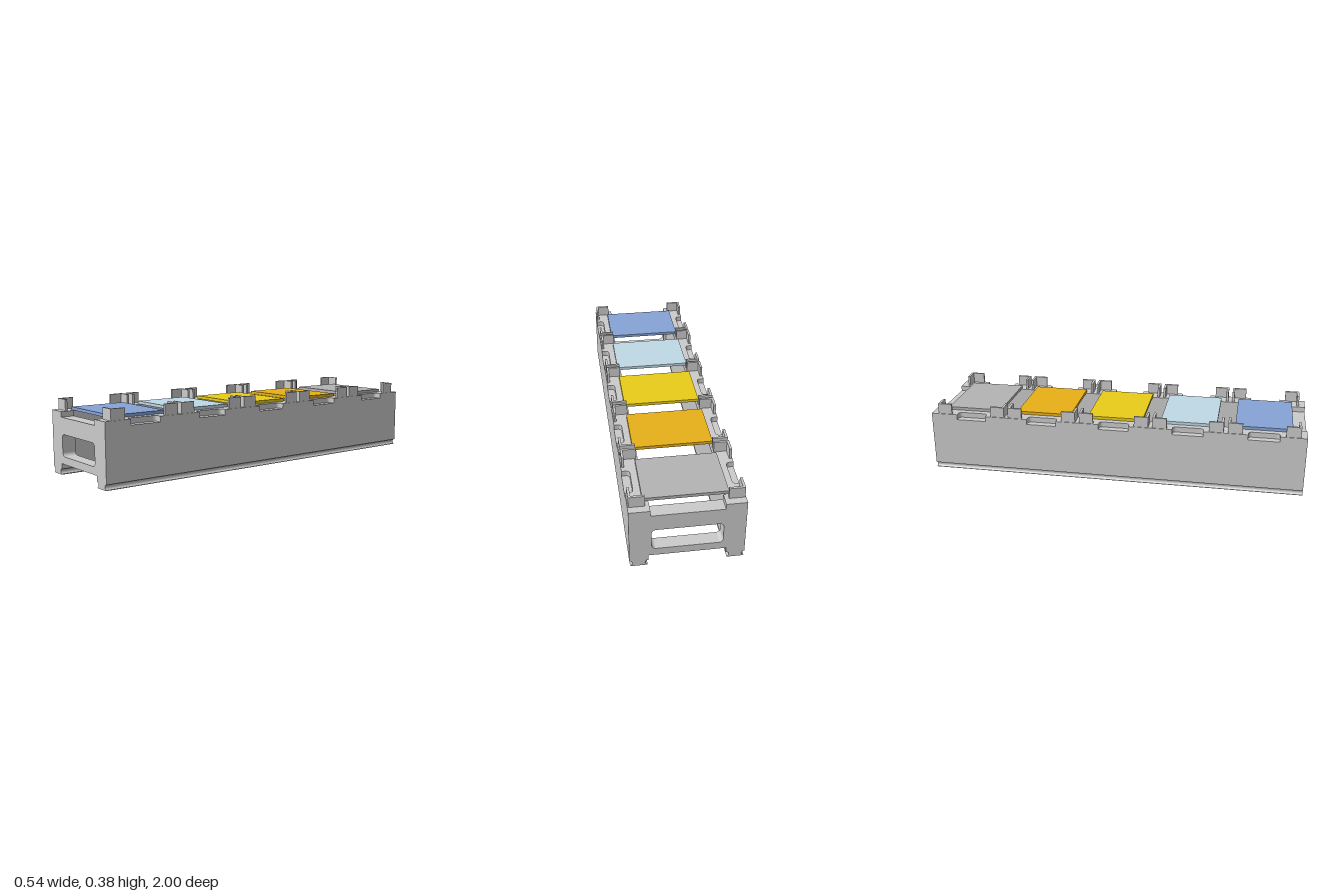
import * as THREE from 'three';

const PITCH = 0.39, SLOTS = [2, 1, 0, -1, -2];
const slotZ = (i) => i * PITCH + 0.003;
const grey = new THREE.MeshStandardMaterial({ color: 0xcccccc });

function add(parent, name, geometry, material = grey) {
  const mesh = new THREE.Mesh(geometry, material);
  mesh.name = name;
  parent.add(mesh);
  return mesh;
}

const extrude = (shape, depth) =>
  new THREE.ExtrudeGeometry(shape, { depth, bevelEnabled: false, curveSegments: 10 });

function roundedRect(path, x0, y0, x1, y1, r) {
  path.moveTo(x0 + r, y0);
  path.lineTo(x1 - r, y0);
  path.absarc(x1 - r, y0 + r, r, -Math.PI / 2, 0);
  path.lineTo(x1, y1 - r);
  path.absarc(x1 - r, y1 - r, r, 0, Math.PI / 2);
  path.lineTo(x0 + r, y1);
  path.absarc(x0 + r, y1 - r, r, Math.PI / 2, Math.PI);
  path.lineTo(x0, y0 + r);
  path.absarc(x0 + r, y0 + r, r, Math.PI, Math.PI * 1.5);
  return path;
}

// Rail cross-section with a round groove on each side of the foot
function railBody(s) {
  const p = new THREE.Shape();
  p.moveTo(s * 0.188, 0);
  p.lineTo(s * 0.265, 0);
  p.lineTo(s * 0.265, 0.003);
  for (let k = 0; k <= 10; k++) {
    const a = -Math.PI / 2 + (k / 10) * Math.PI;
    p.lineTo(s * (0.269 - 0.011 * Math.cos(a)), 0.0165 + 0.0125 * Math.sin(a));
  }
  p.lineTo(s * 0.272, 0.03);
  p.lineTo(s * 0.272, 0.295);
  p.lineTo(s * 0.183, 0.295);
  p.lineTo(s * 0.183, 0.03);
  for (let k = 10; k >= 0; k--) {
    const a = -Math.PI / 2 + (k / 10) * Math.PI;
    p.lineTo(s * (0.187 + 0.011 * Math.cos(a)), 0.0165 + 0.0125 * Math.sin(a));
  }
  return extrude(p, 2).translate(0, 0, -1);
}

// Top layer of a rail, drawn in plan, with a finger notch at every slot
function railTop(s) {
  const p = new THREE.Shape();
  const outer = 0.272, inner = 0.233, half = 0.08, r = 0.02;
  p.moveTo(s * 0.183, 1);
  p.lineTo(s * outer, 1);
  for (const i of SLOTS) {
    const z = slotZ(i);
    p.lineTo(s * outer, z + half);
    p.lineTo(s * (inner + r), z + half);
    p.quadraticCurveTo(s * inner, z + half, s * inner, z + half - r);
    p.lineTo(s * inner, z - half + r);
    p.quadraticCurveTo(s * inner, z - half, s * (inner + r), z - half);
    p.lineTo(s * outer, z - half);
  }
  p.lineTo(s * outer, -1);
  p.lineTo(s * 0.183, -1);
  return extrude(p, 0.028).rotateX(Math.PI / 2).translate(0, 0.323, 0);
}

// End wall with a handle opening and a shallow dip in its top edge
function endWall() {
  const p = new THREE.Shape();
  [[-0.183, 0.058], [0.183, 0.058], [0.183, 0.323], [0.172, 0.323],
    [0.172, 0.295], [-0.172, 0.295], [-0.172, 0.323], [-0.183, 0.323]]
    .forEach(([x, y], k) => (k ? p.lineTo(x, y) : p.moveTo(x, y)));
  p.holes.push(roundedRect(new THREE.Path(), -0.167, 0.097, 0.167, 0.21, 0.02));
  return extrude(p, 0.07);
}

// L-shaped corner bracket; sx, sz point towards its outer corner
function bracket(sx, sz) {
  const w = 0.076, d = 0.075, t = 0.012;
  const p = new THREE.Shape();
  [[0, 0], [w, 0], [w, t], [t, t], [t, d], [0, d]].forEach(([a, b], k) => {
    const x = -sx * a, y = sz * b;
    if (k) p.lineTo(x, y); else p.moveTo(x, y);
  });
  return extrude(p, 0.056).rotateX(-Math.PI / 2);
}

export function createModel() {
  const model = new THREE.Group();
  model.name = 'plateRack';

  for (const s of [1, -1]) {
    const rail = new THREE.Group();
    rail.name = s > 0 ? 'leftRail' : 'rightRail';
    add(rail, 'railBody', railBody(s));
    add(rail, 'railTop', railTop(s));
    model.add(rail);
    add(model, s > 0 ? 'frontWall' : 'backWall', endWall()).position.z = s > 0 ? 0.93 : -1;
  }

  // Five slots, each with four corner brackets and a loose plate
  const colors = [0x86a4d6, 0xbfd9e6, 0xe8cc18, 0xe8b018, 0xb4b4b4];
  SLOTS.forEach((i, n) => {
    const slot = new THREE.Group();
    slot.name = 'slot' + (n + 1);
    slot.position.set(0, 0.323, slotZ(i));
    for (const sx of [1, -1]) for (const sz of [1, -1]) {
      add(slot, 'cornerBracket', bracket(sx, sz)).position.set(sx * 0.268, 0, sz * 0.184);
    }
    const plate = add(slot, 'plate', new THREE.BoxGeometry(0.4, 0.016, 0.295),
      new THREE.MeshStandardMaterial({ color: colors[n] }));
    plate.position.set(0, 0.008, -0.002);
    model.add(slot);
  });

  return model;
}
